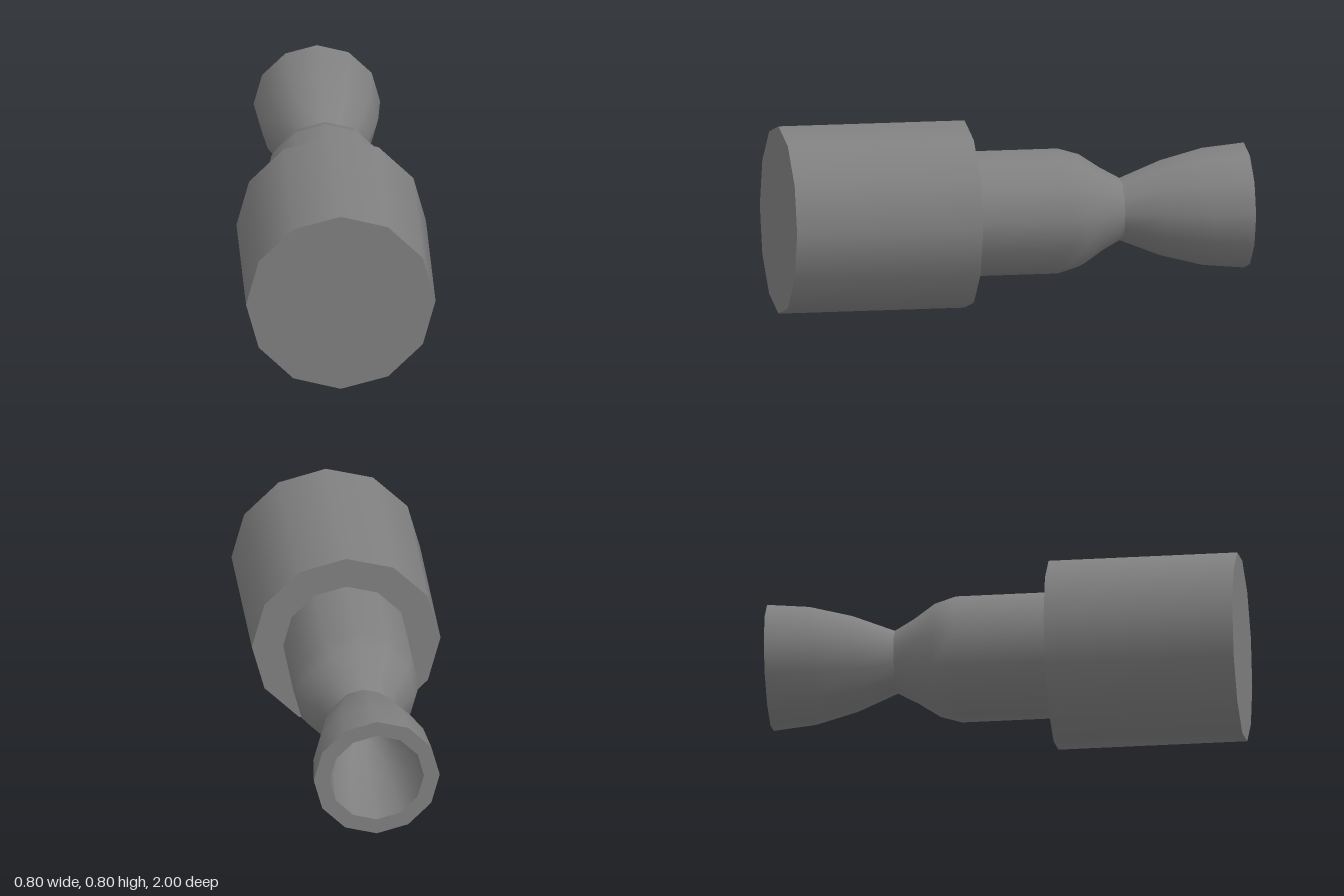
import * as THREE from 'three';

const SIDES = 12;

export function createModel() {
  const model = new THREE.Group();
  model.name = 'rocketEngine';
  const metal = new THREE.MeshStandardMaterial({ color: 0x808080 });
  metal.name = 'grey metal';

  // One smooth surface turned about the z axis; profile is [radius, z] from front to back
  function turned(name, profile, parent) {
    const points = profile.map(([r, z]) => new THREE.Vector2(r, -z));
    const geometry = new THREE.LatheGeometry(points, SIDES);
    geometry.rotateX(-Math.PI / 2);
    const mesh = new THREE.Mesh(geometry, metal);
    mesh.name = name;
    parent.add(mesh);
  }

  function part(name) {
    const group = new THREE.Group();
    group.name = name;
    group.position.y = 0.4;
    model.add(group);
    return group;
  }

  // Wide cylinder with flat ends
  const body = part('body');
  turned('bodyFrontCap', [[0, 1], [0.4, 1]], body);
  turned('bodyWall', [[0.4, 1], [0.4, 0.2]], body);
  turned('bodyBackCap', [[0.4, 0.2], [0, 0.2]], body);

  // Combustion chamber narrowing to the throat
  const chamber = part('chamber');
  turned('chamberWall', [
    [0.267, 0.2], [0.267, -0.2], [0.24, -0.29], [0.18, -0.38], [0.133, -0.465],
  ], chamber);

  // Flared nozzle with a wall thickness and a hollow inside
  const nozzle = part('nozzle');
  turned('nozzleOuterWall', [
    [0.133, -0.465], [0.203, -0.64], [0.25, -0.82], [0.267, -1],
  ], nozzle);
  turned('nozzleRim', [[0.267, -1], [0.2, -1]], nozzle);
  turned('nozzleInnerWall', [
    [0.2, -1], [0.185, -0.82], [0.138, -0.64], [0.067, -0.465],
  ], nozzle);
  turned('throatPlug', [[0.067, -0.465], [0, -0.465]], nozzle);

  return model;
}
